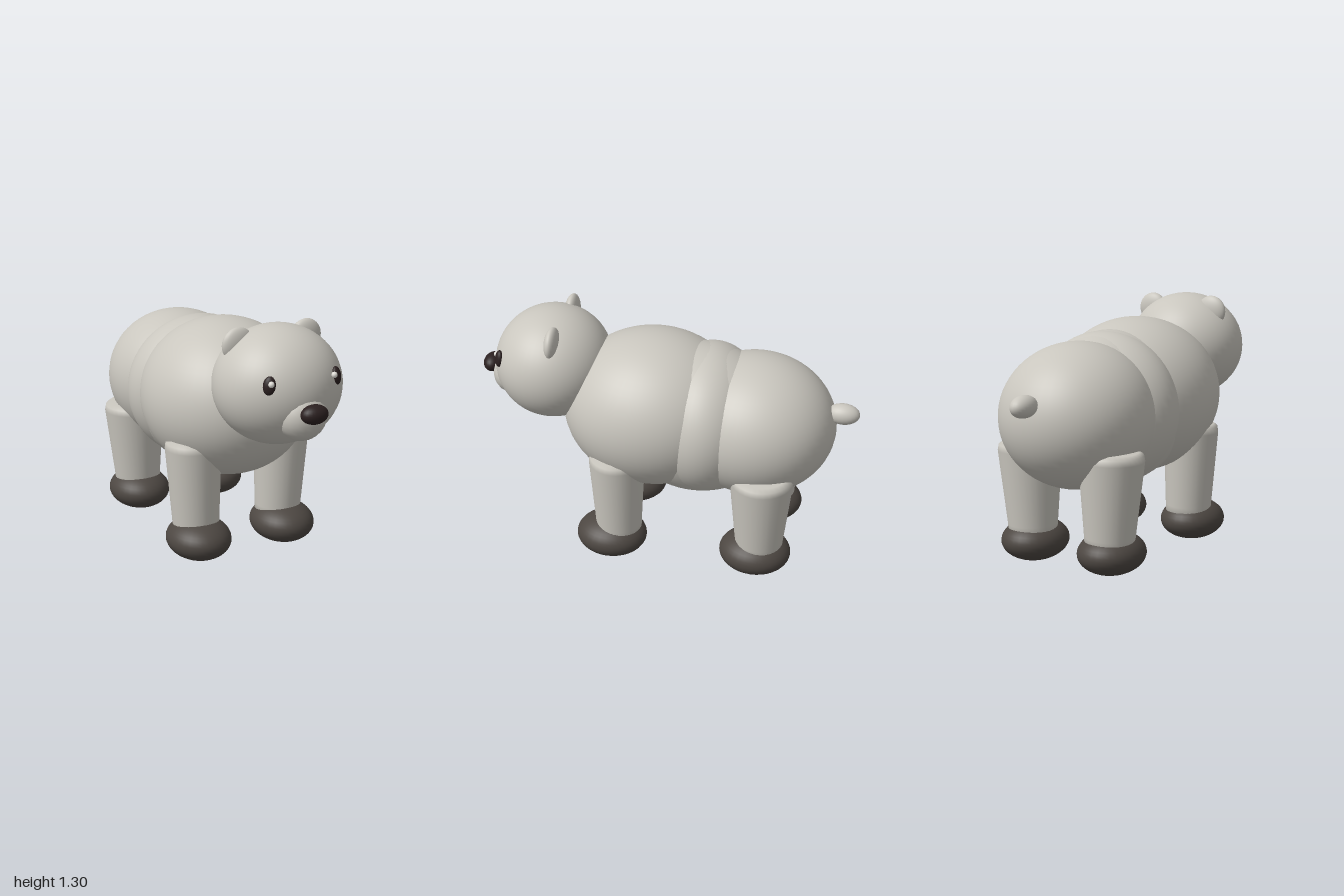
import * as THREE from 'three';

export function createModel() {
  const model = new THREE.Group();
  const material = (name, color) => {
    const m = new THREE.MeshStandardMaterial({ color });
    m.name = name;
    return m;
  };
  const fur = material('pale grey fur', 0xc9c6be);
  const paw = material('dark paw', 0x4d4742);
  const black = material('near black', 0x2b2020);
  const glint = material('eye glint', 0xdedcd6);

  // Ellipsoid from a centre and three radii
  const blob = (name, mat, [x, y, z], [rx, ry, rz], seg = 40) => {
    const geo = new THREE.SphereGeometry(1, seg, Math.round(seg * 0.7));
    geo.scale(rx, ry, rz);
    const mesh = new THREE.Mesh(geo, mat);
    mesh.name = name;
    mesh.position.set(x, y, z);
    model.add(mesh);
    return mesh;
  };

  // Body: overlapping rounded masses
  blob('chest', fur, [0, 0.803, 0.07], [0.435, 0.412, 0.48], 48);
  blob('waist', fur, [0, 0.775, -0.22], [0.405, 0.392, 0.30], 48);
  blob('belly', fur, [0, 0.767, -0.17], [0.38, 0.402, 0.45], 48);
  blob('rump', fur, [0, 0.77, -0.468], [0.39, 0.37, 0.42], 48);
  blob('tail', fur, [0, 0.88, -0.915], [0.055, 0.055, 0.085], 24);

  // Head
  blob('head', fur, [0, 1.01, 0.607], [0.32, 0.293, 0.306], 48);
  blob('muzzle', fur, [0, 0.914, 0.84], [0.125, 0.121, 0.106], 20);
  blob('nose', black, [0, 0.952, 0.95], [0.07, 0.047, 0.05], 24);

  // Tapered leg with a softly domed top
  const leg = (name, x, z, rTop, rBottom, top) => {
    const profile = [
      [0, 0.1], [rBottom, 0.1], [rBottom + 0.004, 0.2], [rTop, top - 0.05],
      [rTop * 0.96, top - 0.02], [rTop * 0.82, top - 0.004], [0, top],
    ].map(([r, y]) => new THREE.Vector2(r, y));
    const mesh = new THREE.Mesh(new THREE.LatheGeometry(profile, 32), fur);
    mesh.name = name;
    mesh.position.set(x, 0, z);
    // Lean outwards towards the top
    mesh.rotation.z = -Math.sign(x) * 0.03;
    model.add(mesh);
  };

  // Mirrored parts
  for (const [side, s] of [['left', 1], ['right', -1]]) {
    leg(`${side} front leg`, s * 0.24, 0.215, 0.146, 0.119, 0.655);
    leg(`${side} rear leg`, s * 0.23, -0.546, 0.164, 0.124, 0.635);
    blob(`${side} front paw`, paw, [s * 0.25, 0.112, 0.254], [0.167, 0.108, 0.19], 32);
    blob(`${side} rear paw`, paw, [s * 0.235, 0.112, -0.527], [0.167, 0.108, 0.19], 32);
    blob(`${side} ear`, fur, [s * 0.187, 1.212, 0.555], [0.085, 0.085, 0.037], 28);

    const eye = blob(`${side} eye`, black, [s * 0.182, 1.087, 0.846], [0.03, 0.045, 0.02], 20);
    eye.rotation.set(-0.2, s * 0.6, s * 0.2);
    blob(`${side} eye glint`, glint, [s * 0.17 - 0.013, 1.098, 0.867], [0.015, 0.015, 0.015], 12);
  }
  return model;
}
